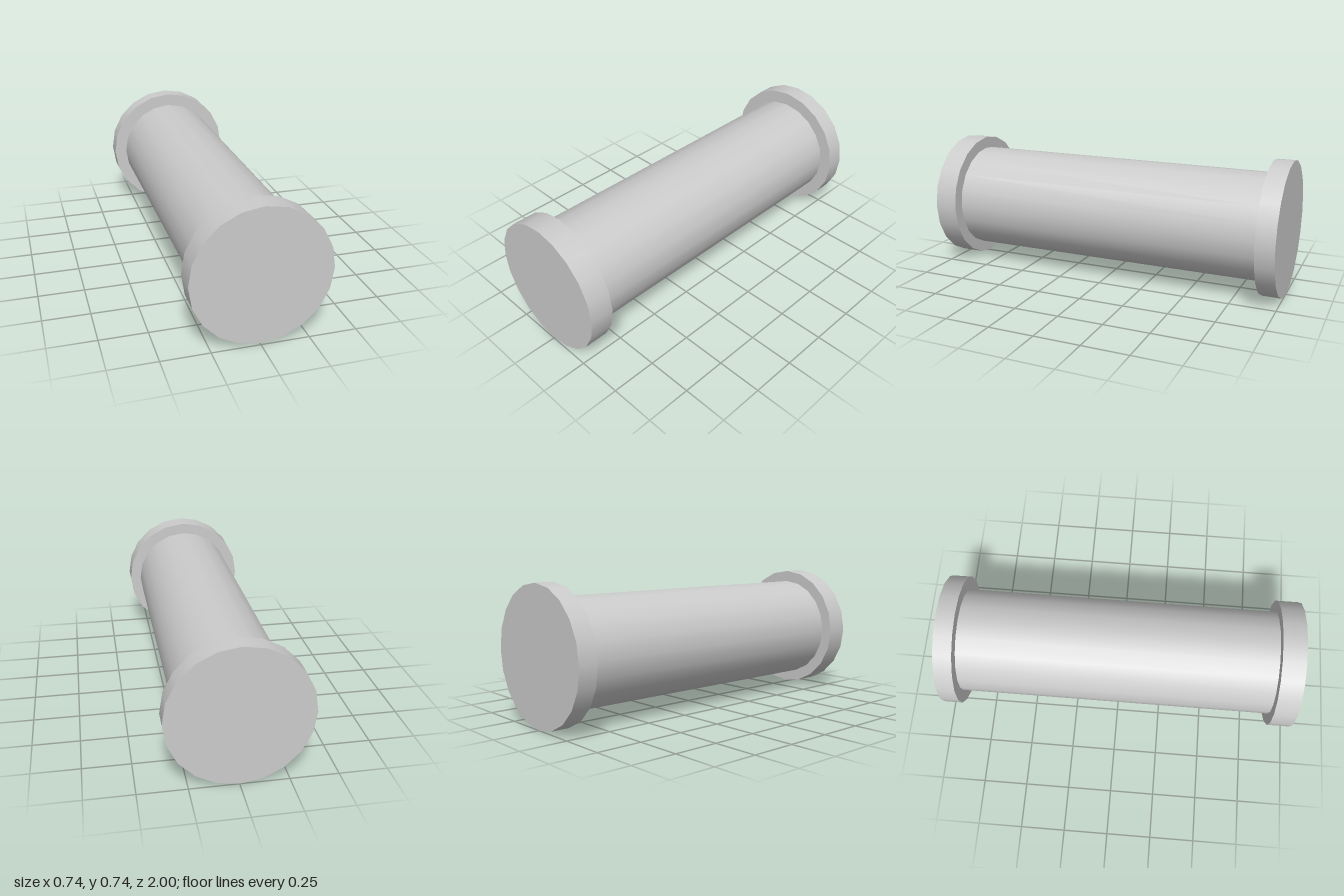
import * as THREE from 'three';

const AXIS_Y = 0.369;
const SIDES = 20;

export function createModel() {
  const model = new THREE.Group();
  const material = new THREE.MeshStandardMaterial({ color: 0xcccccc });

  // Closed cylinder lying along z, spanning zBack to zFront
  function addDrum(name, radius, zBack, zFront) {
    const geometry = new THREE.CylinderGeometry(radius, radius, zFront - zBack, SIDES);
    geometry.rotateX(Math.PI / 2);
    const mesh = new THREE.Mesh(geometry, material);
    mesh.name = name;
    mesh.position.set(0, AXIS_Y, (zBack + zFront) / 2);
    model.add(mesh);
  }

  addDrum('shaft', 0.295, -0.9, 0.875);
  addDrum('frontFlange', 0.36, 0.87, 1);
  addDrum('backFlange', 0.369, -1, -0.896);

  return model;
}
